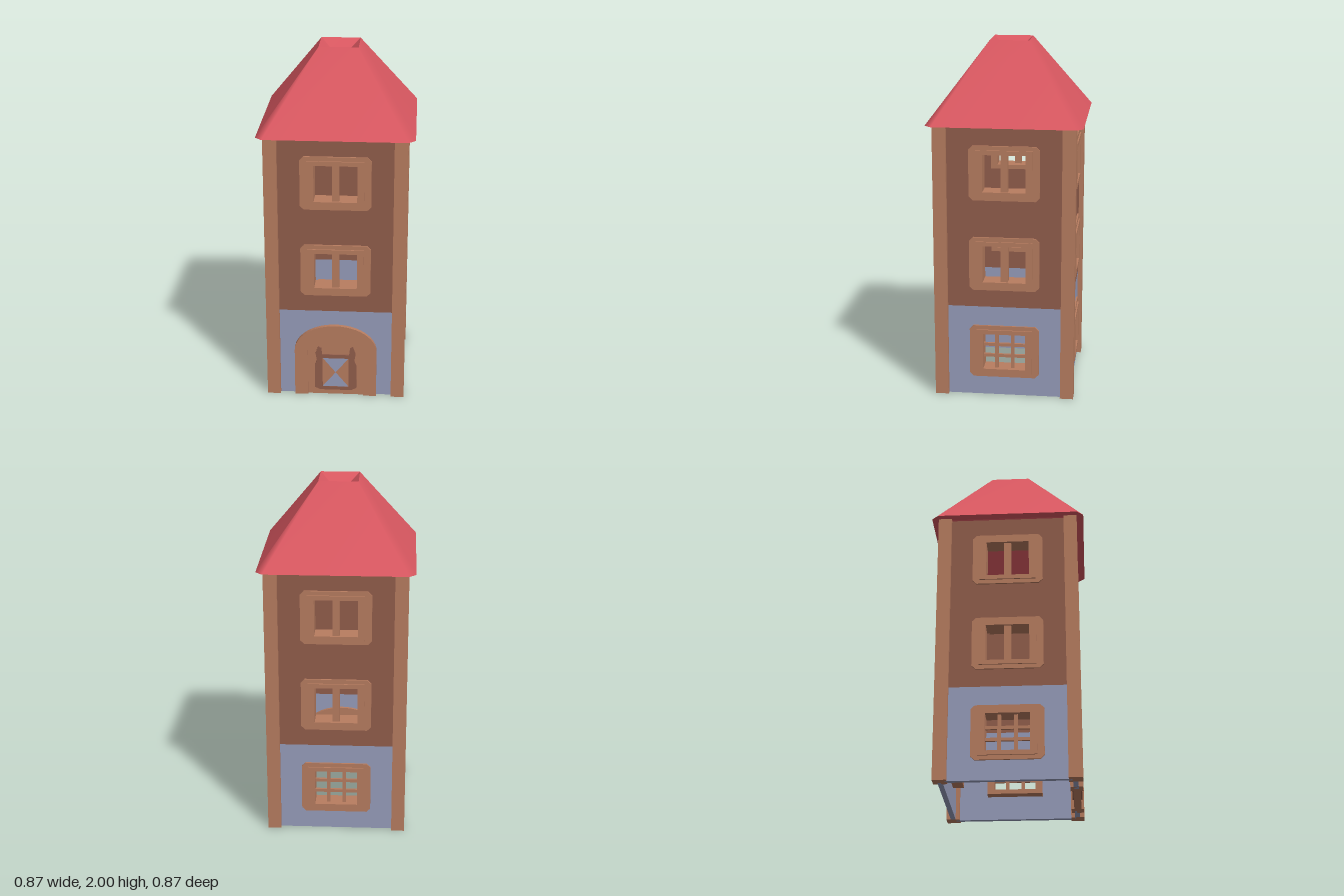
import * as THREE from 'three';

const mat = (name, color, side = THREE.FrontSide) => {
  const m = new THREE.MeshStandardMaterial({ color, side });
  m.name = name;
  return m;
};

export function createModel() {
  const timber = mat('timber', 0xb87d60);
  const brick = mat('brown wall', 0x925e4c);
  const stone = mat('blue stone', 0x979dbb);
  const tile = mat('red roof', 0xda5861, THREE.DoubleSide);
  const model = new THREE.Group();
  model.name = 'tower';

  const add = (parent, name, geo, material) => {
    const mesh = new THREE.Mesh(geo, material);
    mesh.name = name;
    parent.add(mesh);
    return mesh;
  };
  const poly = (pts, Type = THREE.Shape) => new Type(pts.map(([x, y]) => new THREE.Vector2(x, y)));
  // rectangle with corners cut by c
  const rectPts = (cx, cy, w, h, c = 0) => c
    ? [[cx - w + c, cy - h], [cx + w - c, cy - h], [cx + w, cy - h + c], [cx + w, cy + h - c],
      [cx + w - c, cy + h], [cx - w + c, cy + h], [cx - w, cy + h - c], [cx - w, cy - h + c]]
    : [[cx - w, cy - h], [cx + w, cy - h], [cx + w, cy + h], [cx - w, cy + h]];
  // flat shape extruded between two z planes
  const slab = (shape, z0, z1) => new THREE.ExtrudeGeometry(shape,
    { depth: z1 - z0, bevelEnabled: false }).translate(0, 0, z0);
  const box = (x, y, z, w, h, d) => new THREE.BoxGeometry(w, h, d).translate(x, y, z);
  // half-ellipse arch points from right foot to left foot
  const archPts = (w, spring, top) => {
    const pts = [[w, 0]];
    for (let i = 0; i <= 24; i++) {
      const a = Math.PI * i / 24;
      pts.push([w * Math.cos(a), spring + (top - spring) * Math.sin(a)]);
    }
    pts.push([-w, 0]);
    return pts;
  };

  // window: flange, deep frame and bars
  const addWindow = (side, y, grille) => {
    const g = new THREE.Group();
    g.name = grille ? 'barredWindow' : 'window';
    const flange = poly(rectPts(0, y, 0.197, 0.154, 0.022));
    flange.holes.push(poly(rectPts(0, y, 0.155, 0.128), THREE.Path));
    add(g, 'windowSurround', slab(flange, 0.36, 0.38), timber);
    const frame = poly(rectPts(0, y, 0.158, 0.13));
    frame.holes.push(poly(rectPts(0, y, 0.12, 0.105), THREE.Path));
    add(g, 'windowFrame', slab(frame, 0.28, 0.388), timber);
    if (grille) {
      for (const s of [-1, 1]) {
        add(g, 'uprightBar', box(s * 0.045, y, 0.35, 0.02, 0.22, 0.02), timber);
        add(g, 'crossBar', box(0, y + s * 0.033, 0.35, 0.25, 0.018, 0.014), timber);
      }
    } else {
      add(g, 'mullion', box(0, y, 0.35, 0.04, 0.22, 0.045), timber);
    }
    side.add(g);
  };

  // door: arched frame, leaf and a decorated panel on both faces
  const addDoor = (side) => {
    const g = new THREE.Group();
    g.name = 'door';
    const outer = archPts(0.235, 0.285, 0.445);
    const inner = archPts(0.16, 0.285, 0.395);
    add(g, 'doorFrame', slab(poly([...outer, ...inner.slice().reverse()]), 0.325, 0.393), timber);
    add(g, 'doorLeaf', slab(poly(inner), 0.34, 0.38), timber);
    for (const turn of [0, Math.PI]) {
      const panel = new THREE.Group();
      panel.name = 'doorPanel';
      const half = [[0.09, 0.03], [0.12, 0.045], [0.12, 0.19], [0.108, 0.22], [0.116, 0.265],
        [0.1, 0.31], [0.083, 0.3], [0.078, 0.258]];
      const trim = poly([...half, ...half.slice().reverse().map(([x, y]) => [-x, y])]);
      trim.holes.push(poly(rectPts(0, 0.143, 0.075, 0.092), THREE.Path));
      add(panel, 'panelTrim', slab(trim, 0.02, 0.027), brick);
      const c = rectPts(0, 0.143, 0.075, 0.092);
      c.forEach((p, i) => add(panel, 'panelTriangle',
        slab(poly([p, c[(i + 1) % 4], [0, 0.143]]), 0.02, 0.024), i % 2 ? timber : stone));
      panel.position.z = 0.36;
      panel.rotation.y = turn;
      g.add(panel);
    }
    side.add(g);
  };

  // four sides, the first one holding the door
  for (let i = 0; i < 4; i++) {
    const side = new THREE.Group();
    side.name = ['frontSide', 'leftSide', 'backSide', 'rightSide'][i];
    side.rotation.y = i * Math.PI / 2;
    const upper = poly(rectPts(0, 1.0475, 0.34, 0.5175));
    for (const y of [0.785, 1.305]) {
      upper.holes.push(poly(rectPts(0, y, 0.15, 0.12), THREE.Path));
      addWindow(side, y, false);
    }
    add(side, 'upperWall', slab(upper, 0.342, 0.37), brick);
    let lower;
    if (i === 0) {
      lower = poly([[-0.34, 0.53], [-0.34, 0], ...archPts(0.2, 0.285, 0.42).reverse(),
        [0.34, 0], [0.34, 0.53]]);
      addDoor(side);
    } else {
      lower = poly(rectPts(0, 0.265, 0.34, 0.265));
      lower.holes.push(poly(rectPts(0, 0.265, 0.15, 0.12), THREE.Path));
      addWindow(side, 0.265, true);
    }
    add(side, 'lowerWall', slab(lower, 0.342, 0.37), stone);
    add(side, 'cornerPost', box(0.3575, 0.785, 0.3575, 0.075, 1.57, 0.075), timber);
    model.add(side);
  }

  // roof skin lofted between cut-corner square rings [half width, corner cut, y]
  const loft = (rings) => {
    const pos = [], idx = [];
    for (const [w, c, y] of rings) {
      for (const [x, z] of rectPts(0, 0, w, w, c)) pos.push(x, y, -z);
    }
    for (let r = 0; r < rings.length - 1; r++) {
      for (let k = 0; k < 8; k++) {
        const a = r * 8 + k, b = r * 8 + (k + 1) % 8;
        idx.push(a, b, b + 8, a, b + 8, a + 8);
      }
    }
    const geo = new THREE.BufferGeometry();
    geo.setAttribute('position', new THREE.Float32BufferAttribute(pos, 3));
    geo.setIndex(idx);
    geo.computeVertexNormals();
    return geo;
  };
  const roof = new THREE.Group();
  roof.name = 'roof';
  add(roof, 'roofSlope', loft([[0.433, 0.038, 1.567], [0.11, 0.002, 2]]), tile);
  add(roof, 'roofEave', loft([[0.38, 0.033, 1.567], [0.433, 0.038, 1.567]]), tile);
  add(roof, 'roofInside', loft([[0.1, 0.002, 1.93], [0.38, 0.033, 1.567]]), tile);
  // sunken top
  add(roof, 'topRecess', loft([[0.11, 0.002, 2], [0.055, 0.002, 1.95]]), tile);
  add(roof, 'topFloor', new THREE.PlaneGeometry(0.11, 0.11).rotateX(-Math.PI / 2)
    .translate(0, 1.95, 0), tile);
  model.add(roof);
  return model;
}
